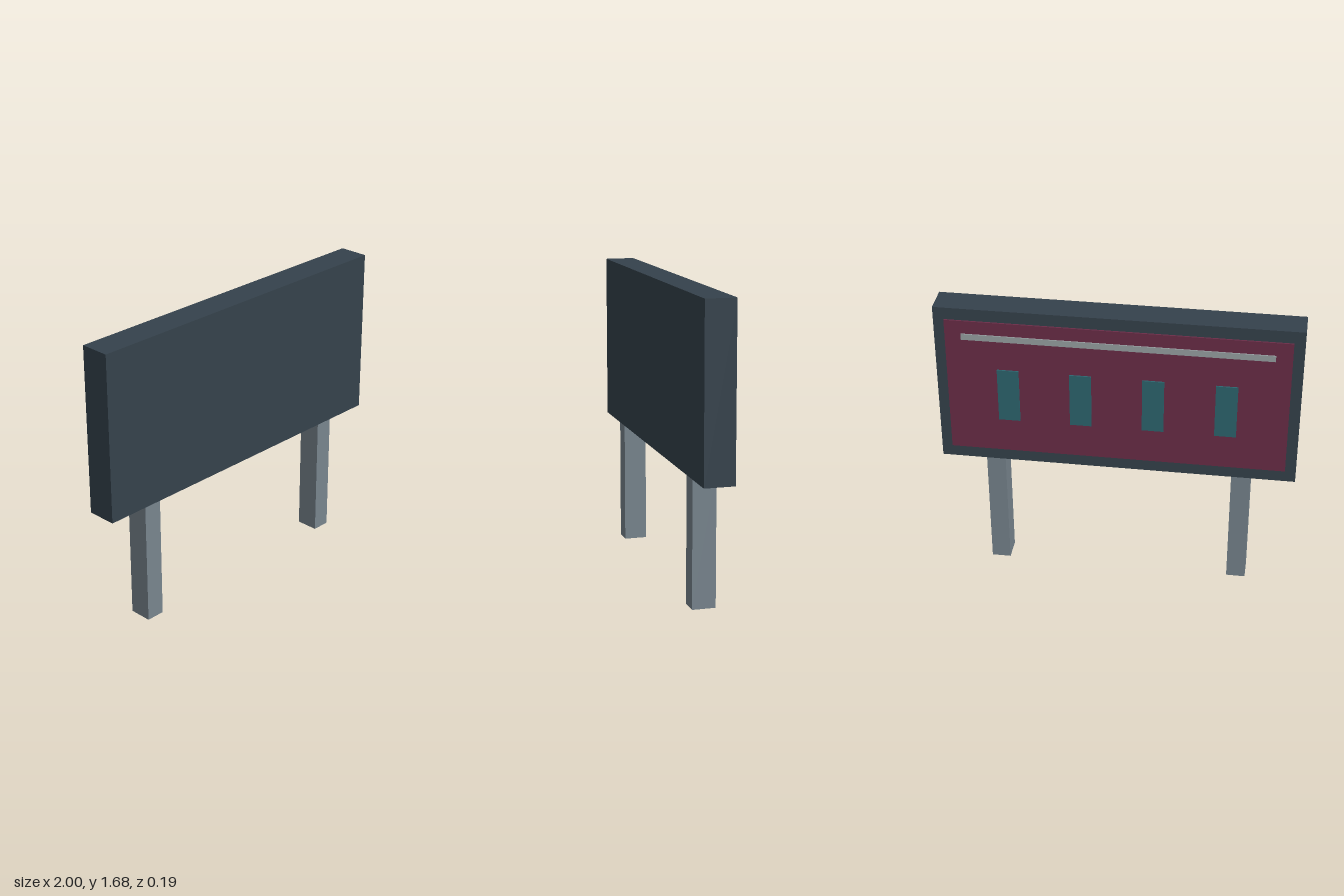
import * as THREE from 'three';

const material = (color) => new THREE.MeshStandardMaterial({ color });

// Box given by its lower and upper limits on each axis
function box(name, mat, [x0, x1], [y0, y1], [z0, z1]) {
  const mesh = new THREE.Mesh(new THREE.BoxGeometry(x1 - x0, y1 - y0, z1 - z0), mat);
  mesh.position.set((x0 + x1) / 2, (y0 + y1) / 2, (z0 + z1) / 2);
  mesh.name = name;
  return mesh;
}

export function createModel() {
  const model = new THREE.Group();
  model.name = 'billboard';

  const frameMat = material(0x35424c);
  const postMat = material(0x78858e);
  const panelMat = material(0x6b2d48);
  const stripMat = material(0x9aa3a5);
  const tileMat = material(0x2d6670);

  // Board casing
  model.add(box('casing', frameMat, [-1, 1], [0.722, 1.68], [-0.076, 0.093]));

  // Two square posts, mirrored
  for (const [name, x] of [['leftPost', 0.697], ['rightPost', -0.697]]) {
    model.add(box(name, postMat, [x - 0.054, x + 0.054], [0, 0.74], [-0.055, 0.076]));
  }

  // Raised display panel on the back, with its strip and row of tiles
  model.add(box('displayPanel', panelMat, [-0.94, 0.94], [0.793, 1.61], [-0.085, -0.07]));
  model.add(box('headerStrip', stripMat, [-0.85, 0.85], [1.497, 1.533], [-0.091, -0.08]));
  for (let i = 0; i < 4; i++) {
    const x = -0.6 + i * 0.4;
    model.add(box(`tile${i + 1}`, tileMat, [x - 0.06, x + 0.06], [1.0, 1.32], [-0.093, -0.08]));
  }

  return model;
}
